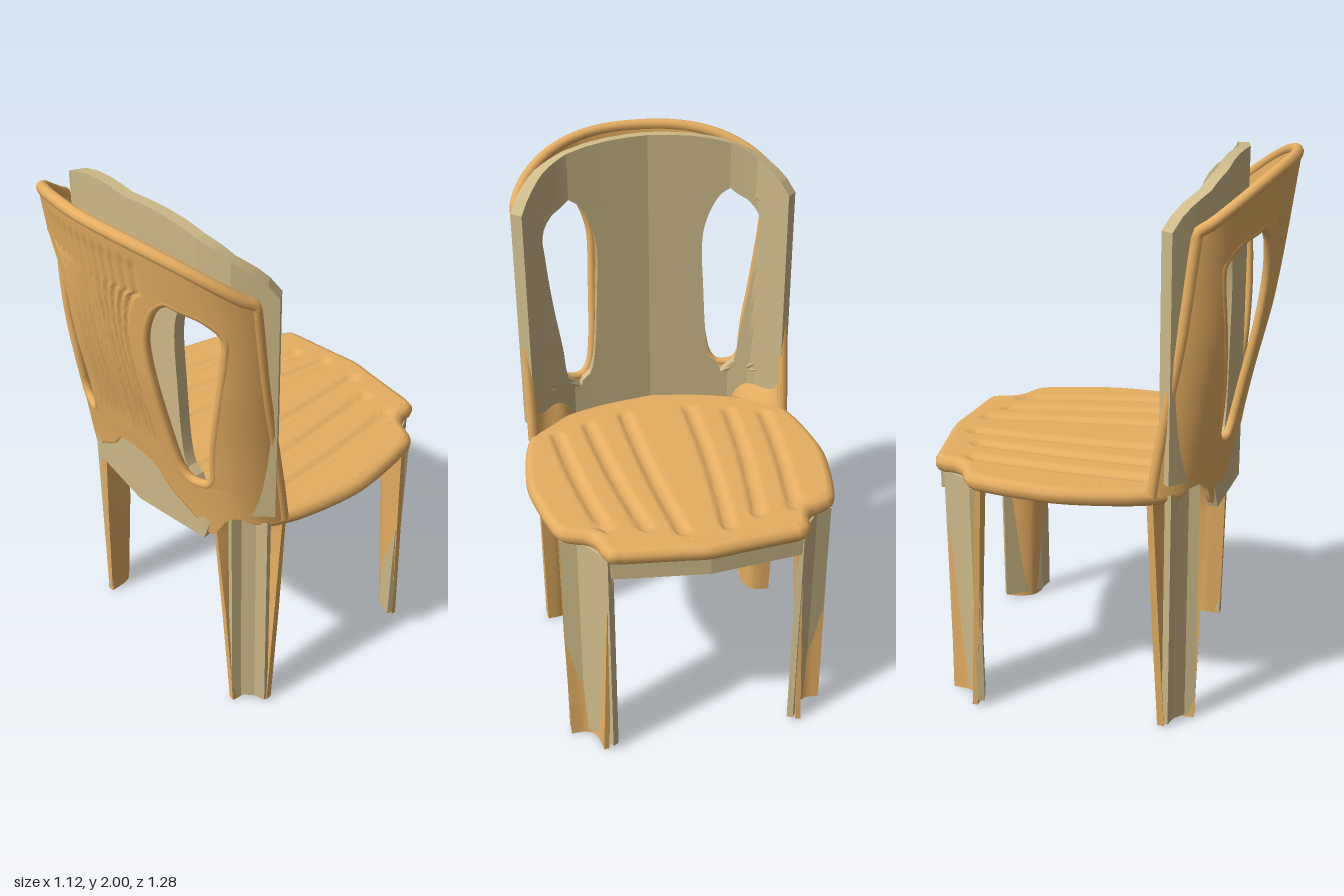
import * as THREE from 'three';
import { toCreasedNormals } from 'three/addons/utils/BufferGeometryUtils.js';

const V = (x, y, z) => new THREE.Vector3(x, y, z);
const { lerp, clamp, smoothstep } = THREE.MathUtils;
const outerMat = new THREE.MeshStandardMaterial({ color: 0xe6af62, side: THREE.DoubleSide });
const innerMat = new THREE.MeshStandardMaterial({ color: 0xcdb988, side: THREE.DoubleSide });

// Smooth (cubic) function through a few [x, y] points, clamped at its ends
function curve(p) {
  const m = p.map((_, i) => {
    const a = p[Math.max(i - 1, 0)], b = p[Math.min(i + 1, p.length - 1)];
    return (b[1] - a[1]) / (b[0] - a[0]);
  });
  return x => {
    if (x <= p[0][0]) return p[0][1];
    if (x >= p[p.length - 1][0]) return p[p.length - 1][1];
    const i = p.findIndex(q => q[0] > x) - 1, h = p[i + 1][0] - p[i][0], t = (x - p[i][0]) / h;
    const e = t * t * (3 - 2 * t);
    return p[i][1] * (1 - e) + p[i + 1][1] * e + h * (t * (1 - t) * (1 - t) * m[i] - t * t * (1 - t) * m[i + 1]);
  };
}

// Closed sheet: f(u, v, d) gives a point on one face (d = 1) or the other (d = -1)
function slab(name, mat, f, nu, nv, crease = 0.7) {
  const at = (i, j, d) => f(i / nu, j / nv, d);
  const ci = nu >> 1, cj = nv >> 1, c = at(ci, cj, 1);
  const n = at(ci + 1, cj, 1).sub(c).cross(at(ci, cj + 1, 1).sub(c));
  const flip = n.dot(c.clone().sub(at(ci, cj, -1))) < 0;
  const pos = [];
  const quad = (a, b, c2, d) => {
    for (const p of flip ? [a, d, c2, a, c2, b] : [a, b, c2, a, c2, d]) pos.push(p.x, p.y, p.z);
  };
  for (let i = 0; i < nu; i++) for (let j = 0; j < nv; j++) {
    quad(at(i, j, 1), at(i + 1, j, 1), at(i + 1, j + 1, 1), at(i, j + 1, 1));
    quad(at(i, j, -1), at(i, j + 1, -1), at(i + 1, j + 1, -1), at(i + 1, j, -1));
  }
  for (let i = 0; i < nu; i++) {
    quad(at(i, 0, -1), at(i + 1, 0, -1), at(i + 1, 0, 1), at(i, 0, 1));
    quad(at(i, nv, 1), at(i + 1, nv, 1), at(i + 1, nv, -1), at(i, nv, -1));
  }
  for (let j = 0; j < nv; j++) {
    quad(at(0, j, 1), at(0, j + 1, 1), at(0, j + 1, -1), at(0, j, -1));
    quad(at(nu, j, -1), at(nu, j + 1, -1), at(nu, j + 1, 1), at(nu, j, 1));
  }
  const g = new THREE.BufferGeometry();
  g.setAttribute('position', new THREE.Float32BufferAttribute(pos, 3));
  const mesh = new THREE.Mesh(toCreasedNormals(g, crease), mat);
  mesh.name = name;
  return mesh;
}

function tube(name, pts, r, closed, n = 120) {
  const path = new THREE.CatmullRomCurve3(pts, closed, 'centripetal');
  const mesh = new THREE.Mesh(new THREE.TubeGeometry(path, n, r, 10, closed), outerMat);
  mesh.name = name;
  return mesh;
}

// Backrest outline: top arch, lower edge and the two openings
const A = 0.505, S_MAX = 1.395, Y0 = 0.8, Y1 = 2;
const holeIn = curve([[1.045, .285], [1.065, .25], [1.15, .225], [1.4, .208], [1.6, .203], [1.7, .228], [1.78, .275], [1.8, .305]]);
const holeOut = curve([[1.045, .285], [1.06, .35], [1.1, .37], [1.2, .382], [1.4, .417], [1.6, .442], [1.69, .445], [1.76, .39], [1.8, .305]]);
const lowEdge = curve([[0, 1.04], [.1, 1.02], [.15, .96], [.18, .935], [.25, .89], [.33, .82], [.38, .9], [.42, .93], [.5, .9]]);
const lean = curve([[.8, .415], [1, .443], [1.2, .483], [1.5, .55], [2, .62]]);
const topEdge = x => 1.7 + 0.28 * Math.sqrt(Math.max(0, 1 - Math.pow(Math.min(Math.abs(x) / .52, 1), 2.6)));
function warpY(x, y, bottom) {
  if (y > 1.75) return 1.75 + (y - 1.75) / .25 * (topEdge(x) - 1.75);
  if (y < 1.05) return 1.05 + (y - 1.05) / .25 * (1.05 - bottom);
  return y;
}

// Curved, leaning shell, squarer in plan towards the bottom; s is the angle around the sitter
function shellPoint(s, yv, off) {
  const x = A * Math.sin(s), y = warpY(x, yv, lowEdge(Math.abs(x))), t = smoothstep(y, .9, 1.8);
  const n = lerp(3.4, 2, t);
  const c = Math.pow(1 - Math.pow(Math.abs(Math.sin(s)), n), 1 / n);
  return V(x + Math.sin(s) * off, y, lean(y) - lerp(.36, .29, t) * (1 - c) + Math.cos(s) * off);
}
const angle = x => Math.asin(x / A);

function backrest() {
  const g = new THREE.Group();
  g.name = 'backrest';
  // fluted centre panel
  g.add(slab('centrePanel', outerMat, (u, v, d) => {
    const yv = lerp(Y0, Y1, v), h = holeIn(yv), s = lerp(-1, 1, u) * angle(h);
    const q = A * Math.sin(s) / (h * .74);
    const fade = smoothstep(yv, 1.08, 1.2) * (1 - smoothstep(yv, 1.9, 1.95));
    const rib = Math.abs(q) < 1 ? .004 * fade * (Math.cos(q * Math.PI * 12) - 1) : 0;
    return shellPoint(s, yv, d * .015 + d * rib);
  }, 120, 90, 1.3));
  for (const m of [-1, 1]) {
    g.add(slab('sidePost', outerMat, (u, v, d) => {
      const yv = lerp(Y0, Y1, v);
      return shellPoint(m * lerp(angle(holeOut(yv)), S_MAX, u), yv, d * .015);
    }, 16, 90));
    // rounded lip of the opening
    const ring = [];
    for (let i = 0; i < 24; i++) {
      const t = i / 24 * Math.PI * 2, y = 1.4225 - .3775 * Math.cos(t);
      ring.push(shellPoint(m * angle((t < Math.PI ? holeOut : holeIn)(y)), y, 0));
    }
    g.add(tube('openingLip', ring, .016, true));
  }
  // rounded outer rim
  const rim = [];
  for (let i = 0; i <= 10; i++) rim.push(shellPoint(-S_MAX, lerp(Y0, 1.9, i / 10), 0));
  for (let i = 0; i <= 24; i++) rim.push(shellPoint(lerp(-S_MAX, S_MAX, i / 24), Y1, 0));
  for (let i = 10; i >= 0; i--) rim.push(shellPoint(S_MAX, lerp(Y0, 1.9, i / 10), 0));
  g.add(tube('backRim', rim, .021, false, 160));
  return g;
}

// Upright faceted panel in front of the shell, cut away above the rear legs
function backPanel() {
  const g = new THREE.Group();
  g.name = 'backPanel';
  const bend = a => a < .31 ? .44 - a * .13 : a < .41 ? .4 - (a - .31) * .4 : .36 - (a - .41) * 1.08;
  const point = (x, yv, d) => {
    const a = Math.abs(x), bottom = lerp(.8, .95, clamp((a - .32) / .03, 0, 1));
    const spread = .018 * smoothstep(a, .25, .5) * Math.sign(x);
    return V(x + d * spread, warpY(x, yv, bottom) + .02 * clamp((yv - 1.75) / .25, 0, 1), bend(a) + d * .02);
  };
  g.add(slab('panelCentre', innerMat, (u, v, d) => {
    const yv = lerp(Y0, Y1, v);
    return point(lerp(-1, 1, u) * holeIn(yv), yv, d);
  }, 8, 48, 0.15));
  for (const m of [-1, 1]) g.add(slab('panelSide', innerMat, (u, v, d) => {
    const yv = lerp(Y0, Y1, v), inHole = yv > 1.06 && yv < 1.79;
    return point(m * lerp(holeOut(yv) - (inHole ? .025 : 0), .505, u), yv, d);
  }, 8, 48, 0.15));
  return g;
}

// Seat grooves as [front x, front z, rear x, rear z]
const grooves = [[.08, -.53, .13, .28], [.2, -.48, .28, .23], [.335, -.46, .41, .18]];

function seat() {
  const g = new THREE.Group();
  g.name = 'seat';
  const half = curve([[-.57, .325], [-.5, .345], [-.455, .38], [-.43, .43], [-.41, .465], [-.25, .508], [-.1, .528], [.1, .508], [.2, .482], [.26, .45], [.34, .3], [.42, .02]]);
  const frontZ = (x, z) => z - .04 * Math.max(0, 1 - Math.abs(x) / .34) * clamp((-.3 - z) / .27, 0, 1);
  const dip = (x, z) => grooves.reduce((s, [x0, z0, x1, z1]) => {
    const t = clamp((z - z0) / (z1 - z0), 0, 1);
    const r = Math.hypot(Math.abs(x) - lerp(x0, x1, t) - .01 * Math.sin(t * Math.PI), z - lerp(z0, z1, t));
    return s - .012 * (1 - smoothstep(r, .008, .036));
  }, 0);
  g.add(slab('seatTop', outerMat, (u, v, d) => {
    const z0 = lerp(-.57, .42, v), x = lerp(-1, 1, u) * half(z0), z = frontZ(x, z0);
    return V(x, .92 + d * .009 + dip(x, z), z);
  }, 110, 80, 1.2));
  const rows = [-.57, -.5, -.455, -.43, -.41, -.33, -.25, -.1, .1, .2, .26, .34, .41];
  const right = rows.map(z => V(half(z), .895, z));
  const left = rows.map(z => V(-half(z), .895, z)).reverse();
  const front = [-.3, -.2, -.1, 0, .1, .2, .3].map(x => V(x, .895, frontZ(x, -.57)));
  g.add(tube('seatRim', [...right, ...left, ...front], .034, true, 200));

  // slotted panel beneath
  const shape = new THREE.Shape([...right, ...left, ...front].map(p => new THREE.Vector2(p.x * .97, p.z * .98)));
  for (const m of [-1, 1]) for (const [x0, z0, x1, z1] of grooves) {
    const w = x0 > .3 ? .022 : .032;
    shape.holes.push(new THREE.Path([[x0 - w, z0], [x0 + w * .5, z0], [x1 + w, z1], [x1 - w, z1]].map(p => new THREE.Vector2(m * p[0], p[1]))));
  }
  const under = new THREE.Mesh(new THREE.ExtrudeGeometry(shape, { depth: .06, bevelEnabled: false }).rotateX(Math.PI / 2).translate(0, .915, 0), innerMat);
  under.name = 'seatUnderside';
  g.add(under);
  // front skirt
  g.add(slab('frontSkirt', innerMat, (u, v, d) => {
    const x = lerp(-.335, .335, u);
    return V(x, lerp(.8, .88, v), -.61 + Math.abs(x) * .12 + d * .012);
  }, 8, 1, 0.2));
  return g;
}

// Channel-shaped leg lofted through plan sections [y, [[x, z], ...]]
function leg(name, mat, sections, m, t, nu, nv, crease) {
  const curves = sections.map(([y, pts]) => [y, new THREE.CatmullRomCurve3(pts.map(p => V(p[0], 0, p[1])), false, 'centripetal')]);
  const last = curves.length - 1;
  return slab(name, mat, (u, v, d) => {
    const k = Math.min(Math.floor(v * last + 1e-9), last - 1), f = v * last - k;
    const [ya, ca] = curves[k], [yb, cb] = curves[k + 1];
    const p = ca.getPoint(u).lerp(cb.getPoint(u), f);
    const n = ca.getTangent(u).lerp(cb.getTangent(u), f).normalize();
    return V(m * (p.x - n.z * d * t), lerp(ya, yb, f), p.z + n.x * d * t);
  }, nu, nv, crease);
}

export function createModel() {
  const chair = new THREE.Group();
  chair.name = 'chair';
  chair.add(backrest(), backPanel(), seat());
  const frontOuter = [
    [0, [[.37, -.555], [.38, -.49], [.4, -.455], [.435, -.44], [.485, -.44]]],
    [.45, [[.35, -.555], [.365, -.47], [.385, -.435], [.43, -.42], [.49, -.415]]],
    [.9, [[.33, -.56], [.35, -.45], [.37, -.415], [.42, -.4], [.49, -.395]]]];
  const rearOuter = [
    [0, [[.395, .365], [.4, .3], [.415, .27], [.44, .26], [.485, .255]]],
    [.45, [[.365, .375], [.375, .28], [.395, .25], [.43, .235], [.49, .23]]],
    [.87, [[.33, .385], [.36, .29], [.385, .255], [.43, .23], [.495, .21]]],
    [1.02, [[.335, .405], [.4, .38], [.44, .35], [.48, .29], [.5, .22]]]];
  const frontInner = [[.335, -.56], [.38, -.485], [.425, -.43], [.485, -.415]];
  const rearInner = [[.39, .365], [.4, .325], [.44, .285], [.485, .27]];
  for (const m of [-1, 1]) {
    chair.add(
      leg('frontLeg', outerMat, frontOuter, m, .01, 20, 12),
      leg('rearLeg', outerMat, rearOuter, m, .012, 20, 18),
      leg('frontLegLiner', innerMat, [[.02, frontInner], [.87, frontInner]], m, .012, 3, 1, 0.1),
      leg('rearLegLiner', innerMat, [[.01, rearInner], [.95, rearInner]], m, .012, 3, 1, 0.1));
  }
  return chair;
}
